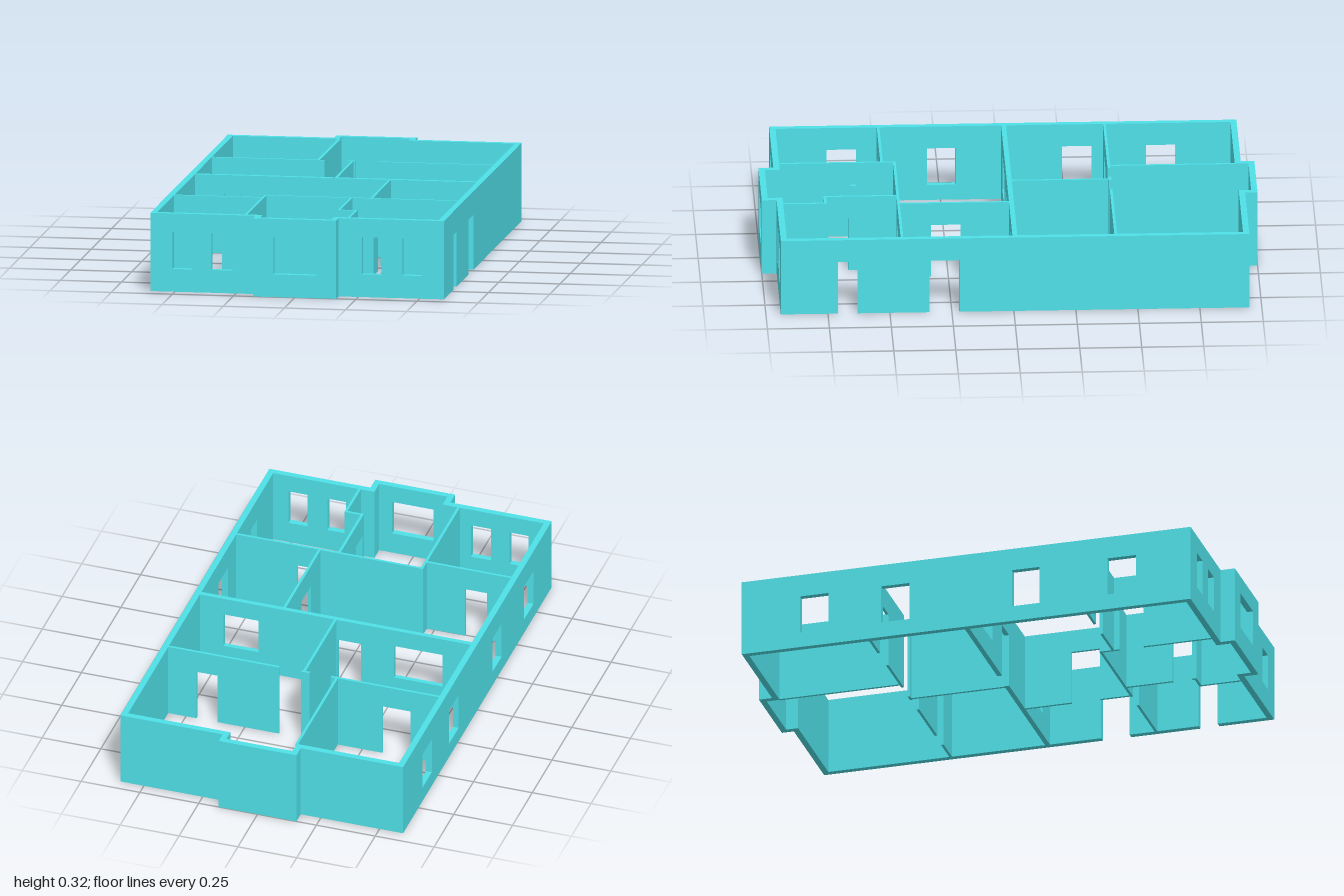
import * as THREE from 'three';

const H = 0.32;          // wall height
const OUT = 0.025;       // outer wall thickness
const IN = 0.011;        // partition thickness
const DOOR = 0.225;      // door head height

const door = (a, b) => [a, b, 0, DOOR];
const sideWindow = (a, b) => [a, b, 0.065, DOOR];
const frontWindow = (a, b) => [a, b, 0.093, 0.245];

export function createModel() {
  const model = new THREE.Group();
  model.name = 'floorPlan';
  const material = new THREE.MeshStandardMaterial({ color: 0x4fe0e8, flatShading: true });

  // Wall elevation from a to b: doors notch the outline, windows are holes
  function elevation(a, b, openings) {
    const shape = new THREE.Shape();
    shape.moveTo(a, 0);
    for (const [p, q, sill, head] of openings) {
      if (sill > 0) {
        const hole = new THREE.Path();
        hole.moveTo(p, sill).lineTo(p, head).lineTo(q, head).lineTo(q, sill).closePath();
        shape.holes.push(hole);
      } else {
        shape.lineTo(p, 0).lineTo(p, head).lineTo(q, head).lineTo(q, 0);
      }
    }
    shape.lineTo(b, 0).lineTo(b, H).lineTo(a, H).closePath();
    return shape;
  }

  function addWall(name, a, b, thickness, openings) {
    const geometry = new THREE.ExtrudeGeometry(elevation(a, b, openings), {
      depth: thickness, bevelEnabled: false,
    });
    const mesh = new THREE.Mesh(geometry, material);
    mesh.name = name;
    model.add(mesh);
    return mesh;
  }

  // Wall running along x, occupying z .. z + thickness; openings go from low to high x
  function wallX(name, a, b, z, thickness, openings = []) {
    addWall(name, a, b, thickness, openings).position.z = z;
  }

  // Wall running along z, occupying x .. x + thickness; openings go from low to high z
  function wallZ(name, a, b, x, thickness, openings = []) {
    const mesh = addWall(name, a, b, thickness, openings);
    mesh.rotation.y = -Math.PI / 2;
    mesh.position.x = x + thickness;
  }

  // Long outer walls
  wallZ('windowSideWall', -0.945, 0.94, -0.6, OUT, [
    sideWindow(-0.7, -0.58), sideWindow(-0.36, -0.24),
    sideWindow(0.19, 0.305), sideWindow(0.59, 0.71),
  ]);
  wallZ('doorSideWall', -0.95, 0.94, 0.575, OUT, [door(0.22, 0.34), door(0.63, 0.71)]);

  // Front wall with projecting bay
  wallX('frontWallRight', -0.575, -0.145, 0.915, OUT, [
    frontWindow(-0.51, -0.43), frontWindow(-0.35, -0.265),
  ]);
  wallX('frontWallLeft', 0.145, 0.575, 0.915, OUT, [
    frontWindow(0.265, 0.345), frontWindow(0.43, 0.51),
  ]);
  wallX('frontBayWall', -0.17, 0.17, 0.975, OUT, [frontWindow(-0.087, 0.09)]);

  // Back wall with projecting bay
  wallX('backWallRight', -0.575, -0.14, -0.945, OUT);
  wallX('backWallLeft', 0.14, 0.575, -0.95, OUT);
  wallX('backBayWall', -0.165, 0.165, -1, OUT);

  // Bay returns on both sides
  for (const side of [-1, 1]) {
    wallZ('frontBayReturn', 0.94, 0.975, side * 0.1575 - OUT / 2, OUT);
    wallZ('backBayReturn', -0.975, -0.925, side * 0.1525 - OUT / 2, OUT);
  }

  // Main cross wall between the two halves
  wallX('middleWall', -0.575, 0.575, -0.015, 0.02, [
    frontWindow(-0.455, -0.25), door(-0.11, -0.01), frontWindow(0.325, 0.475),
  ]);

  // Partitions in the back half
  wallX('backPartitionRight', -0.575, -0.115, -0.417, IN, [door(-0.455, -0.335)]);
  wallX('backPartitionPier', -0.025, 0.01, -0.417, IN);
  wallX('backPartitionLeft', 0.105, 0.575, -0.417, IN, [door(0.365, 0.455)]);
  wallZ('backBedroomPartition', -0.92, -0.406, -0.146, IN);
  wallZ('backHallPartition', -0.406, -0.015, -0.006, IN);

  // Partitions in the front half
  wallZ('sideRoomPartition', 0.005, 0.445, 0.216, IN, [door(0.2, 0.32)]);
  wallX('frontCrossPartition', -0.218, 0.575, 0.445, IN, [door(0.23, 0.315)]);
  wallX('cornerRoomPartition', -0.575, -0.218, 0.496, IN, [door(-0.475, -0.38)]);
  wallZ('frontRoomPartition', 0.456, 0.915, -0.218, IN, [door(0.53, 0.63)]);
  wallZ('entryPartition', 0.456, 0.75, 0.134, IN, [door(0.65, 0.73)]);
  wallX('entryStepPartition', 0.145, 0.213, 0.739, IN);
  wallZ('entryFrontPartition', 0.739, 0.915, 0.203, IN);

  return model;
}
